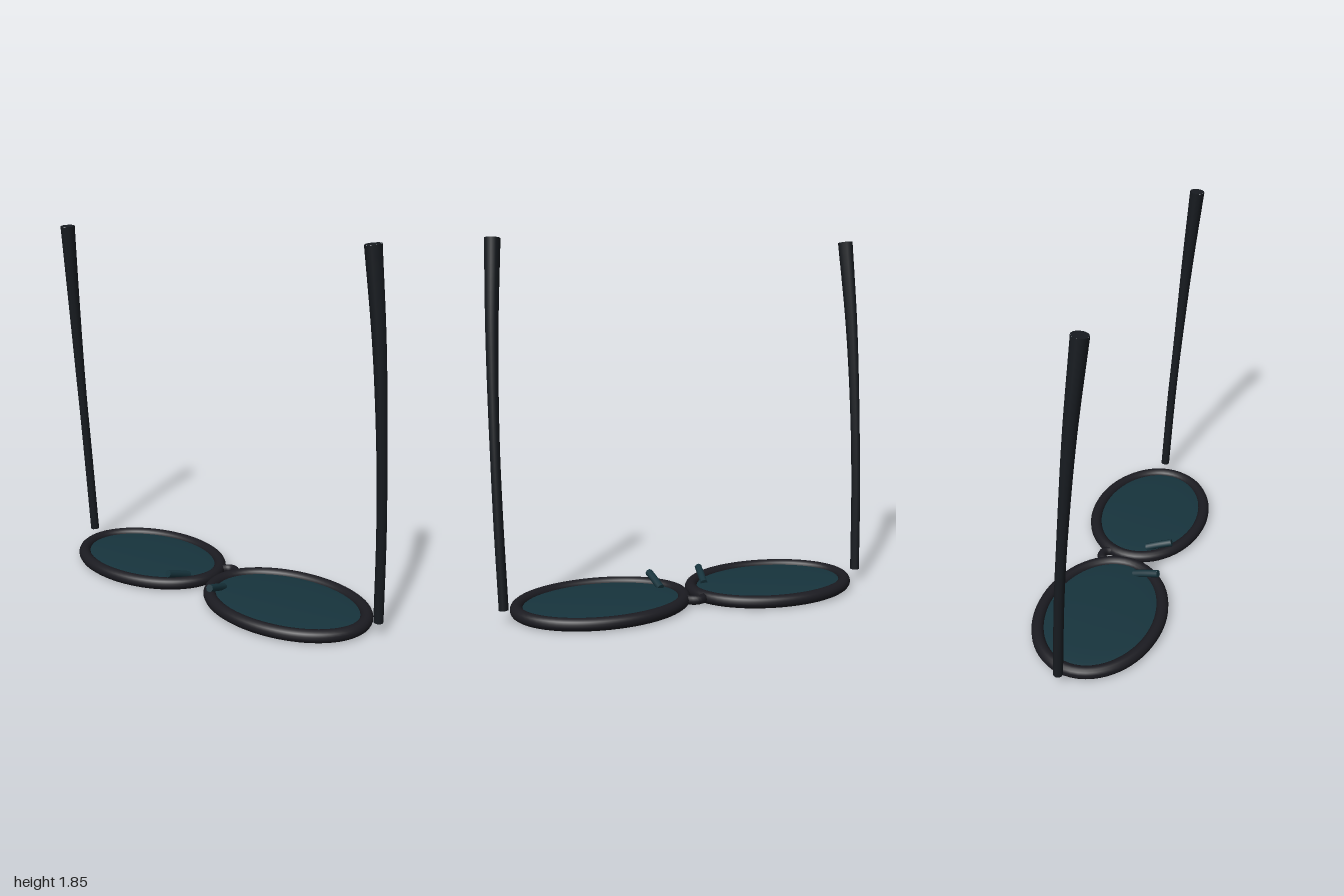
import * as THREE from 'three';

const frameMat = new THREE.MeshStandardMaterial({ color: 0x1b1b21 });
const templeMat = new THREE.MeshStandardMaterial({ color: 0x171b20 });
const lensMat = new THREE.MeshStandardMaterial({ color: 0x17343d });

const v = (x, y, z) => new THREE.Vector3(x, y, z);

function addMesh(parent, name, geometry, material) {
  const mesh = new THREE.Mesh(geometry, material);
  mesh.name = name;
  parent.add(mesh);
  return mesh;
}

// Tube along a curve whose radius follows radiusAt(t), closed with flat caps
function taperedTube(name, points, radiusAt, segments, sides, material) {
  const group = new THREE.Group();
  group.name = name;
  const curve = new THREE.CatmullRomCurve3(points);
  const geo = new THREE.TubeGeometry(curve, segments, 1, sides, false);
  const pos = geo.attributes.position;
  const p = new THREE.Vector3();
  for (let i = 0; i <= segments; i++) {
    const center = curve.getPointAt(i / segments);
    for (let j = 0; j <= sides; j++) {
      const k = i * (sides + 1) + j;
      p.fromBufferAttribute(pos, k).sub(center).multiplyScalar(radiusAt(i / segments)).add(center);
      pos.setXYZ(k, p.x, p.y, p.z);
    }
  }
  addMesh(group, name + 'Body', geo, material);
  for (const t of [0, 1]) {
    const cap = addMesh(group, name + 'Cap', new THREE.CircleGeometry(radiusAt(t), sides), material);
    const center = curve.getPointAt(t);
    cap.position.copy(center);
    cap.lookAt(center.add(curve.getTangentAt(t).multiplyScalar(t ? 1 : -1)));
  }
  return group;
}

// Closed oval path for the rim
class Oval extends THREE.Curve {
  constructor(a, b) {
    super();
    this.a = a;
    this.b = b;
  }
  getPoint(t, target = new THREE.Vector3()) {
    const s = t * Math.PI * 2;
    return target.set(this.a * Math.cos(s), 0, this.b * Math.sin(s));
  }
}

export function createModel() {
  const model = new THREE.Group();
  model.name = 'glasses';

  for (const side of [1, -1]) {
    const label = side > 0 ? 'left' : 'right';

    // Oval rim and the thin curved lens inside it
    const rim = addMesh(model, label + 'Rim',
      new THREE.TubeGeometry(new Oval(0.431, 0.306), 72, 0.032, 14, true), frameMat);
    rim.position.set(side * 0.464, 0.033, 0);
    const lens = addMesh(model, label + 'Lens', new THREE.SphereGeometry(1, 48, 20), lensMat);
    lens.scale.set(0.425, 0.023, 0.3);
    lens.position.copy(rim.position);

    // Nose pad rising off the lens
    model.add(taperedTube(label + 'NosePad',
      [v(side * 0.122, 0.045, 0.075), v(side * 0.132, 0.07, 0.145), v(side * 0.142, 0.092, 0.215)],
      () => 0.02, 4, 8, lensMat));

    // Long gently bowed temple, flared toward the ear end
    model.add(taperedTube(label + 'Temple',
      [v(side * 0.967, 0.068, -0.046), v(side * 0.977, 0.55, -0.018), v(side * 0.977, 1.0, 0.018),
        v(side * 0.967, 1.42, 0.056), v(side * 0.945, 1.845, 0.103)],
      t => 0.024 + 0.015 * Math.pow(Math.max(0, (t - 0.4) / 0.6), 1.4), 28, 10, templeMat));
  }

  // Small arched bridge between the rims
  model.add(taperedTube('bridge',
    [v(-0.055, 0.033, -0.1), v(-0.028, 0.035, -0.138), v(0, 0.036, -0.148),
      v(0.028, 0.035, -0.138), v(0.055, 0.033, -0.1)],
    () => 0.024, 14, 8, frameMat));

  return model;
}
